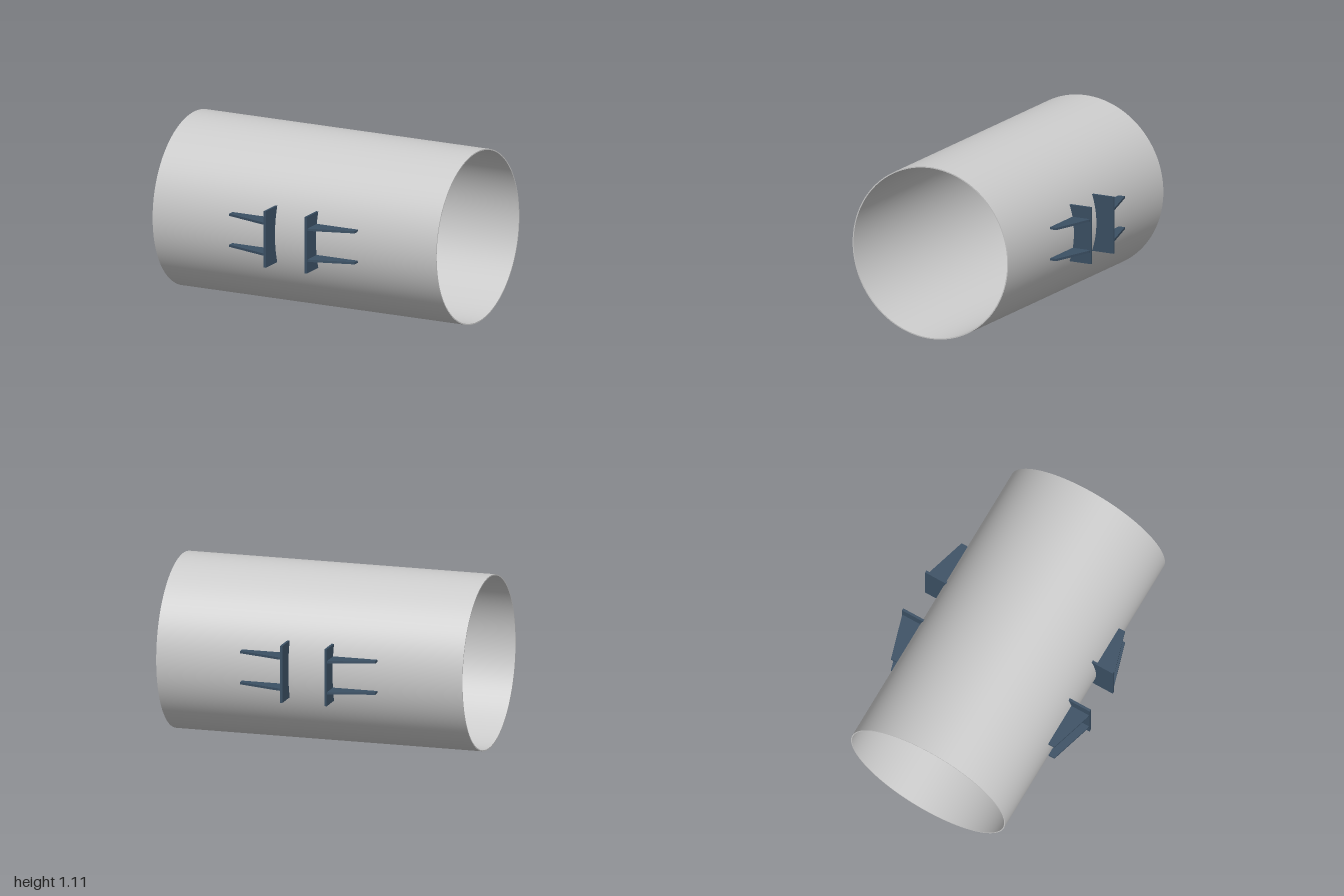
import * as THREE from 'three';
import { toCreasedNormals } from 'three/addons/utils/BufferGeometryUtils.js';

const R = 0.5535;       // outer radius of the pipe
const WALL = 0.007;     // pipe wall thickness
const LENGTH = 2;
const T = 0.0155;       // plate thickness
const PLATE_X = 0.137;  // inner face of each plate

const pipeMaterial = new THREE.MeshStandardMaterial({ color: 0xcccccc });
const steelMaterial = new THREE.MeshStandardMaterial({ color: 0x3b5064 });

function extrude(shape, depth, curveSegments = 12) {
  return new THREE.ExtrudeGeometry(shape, { depth, curveSegments, bevelEnabled: false });
}

function part(name, geometry, material) {
  const mesh = new THREE.Mesh(geometry, material);
  mesh.name = name;
  return mesh;
}

// Thin-walled pipe lying along x
function createPipe() {
  const ring = new THREE.Shape().absarc(0, 0, R, 0, Math.PI * 2);
  ring.holes.push(new THREE.Path().absarc(0, 0, R - WALL, 0, Math.PI * 2, true));
  const geometry = extrude(ring, LENGTH, 64);
  geometry.translate(0, 0, -LENGTH / 2).rotateY(Math.PI / 2);
  return part('pipe', toCreasedNormals(geometry, 0.5), pipeMaterial);
}

// Upright plate whose inner edge follows the pipe
function createPlateGeometry() {
  const half = 0.1825, outer = 0.674, r = R - WALL / 3;
  const angle = Math.asin(half / r);
  const shape = new THREE.Shape();
  shape.moveTo(outer, -half);
  shape.lineTo(outer, half);
  shape.lineTo(r * Math.cos(angle), half);
  shape.absarc(0, 0, r, angle, -angle, true);
  shape.closePath();
  return extrude(shape, T, 16).rotateY(-Math.PI / 2).translate(PLATE_X + T, 0, 0);
}

// Tapered rib bracing the plate against the pipe
function createRibGeometry() {
  const start = PLATE_X + T, end = 0.442, base = 0.5425, t = 0.0145;
  const shape = new THREE.Shape([
    [start, base], [end, base], [end, 0.587], [start + 0.015, 0.668], [start, 0.668],
  ].map(([x, z]) => new THREE.Vector2(x, z)));
  return extrude(shape, t).rotateX(Math.PI / 2).translate(0, t / 2, 0);
}

export function createModel() {
  const model = new THREE.Group();
  model.name = 'pipeWithBrackets';

  const pipe = createPipe();
  pipe.position.y = R;
  model.add(pipe);

  // Half turns about each axis place the same bracket in all four positions
  const plate = createPlateGeometry();
  const rib = createRibGeometry();
  const placements = {
    frontLeftBracket: [0, 0, 0],
    frontRightBracket: [0, 0, Math.PI],
    backLeftBracket: [Math.PI, 0, 0],
    backRightBracket: [0, Math.PI, 0],
  };
  for (const [name, turn] of Object.entries(placements)) {
    const bracket = new THREE.Group();
    bracket.name = name;
    bracket.add(part('plate', plate, steelMaterial));
    for (const side of [-1, 1]) {
      const mesh = part(side > 0 ? 'upperRib' : 'lowerRib', rib, steelMaterial);
      mesh.position.y = side * 0.1;
      bracket.add(mesh);
    }
    bracket.rotation.set(...turn);
    bracket.position.y = R;
    model.add(bracket);
  }
  return model;
}
